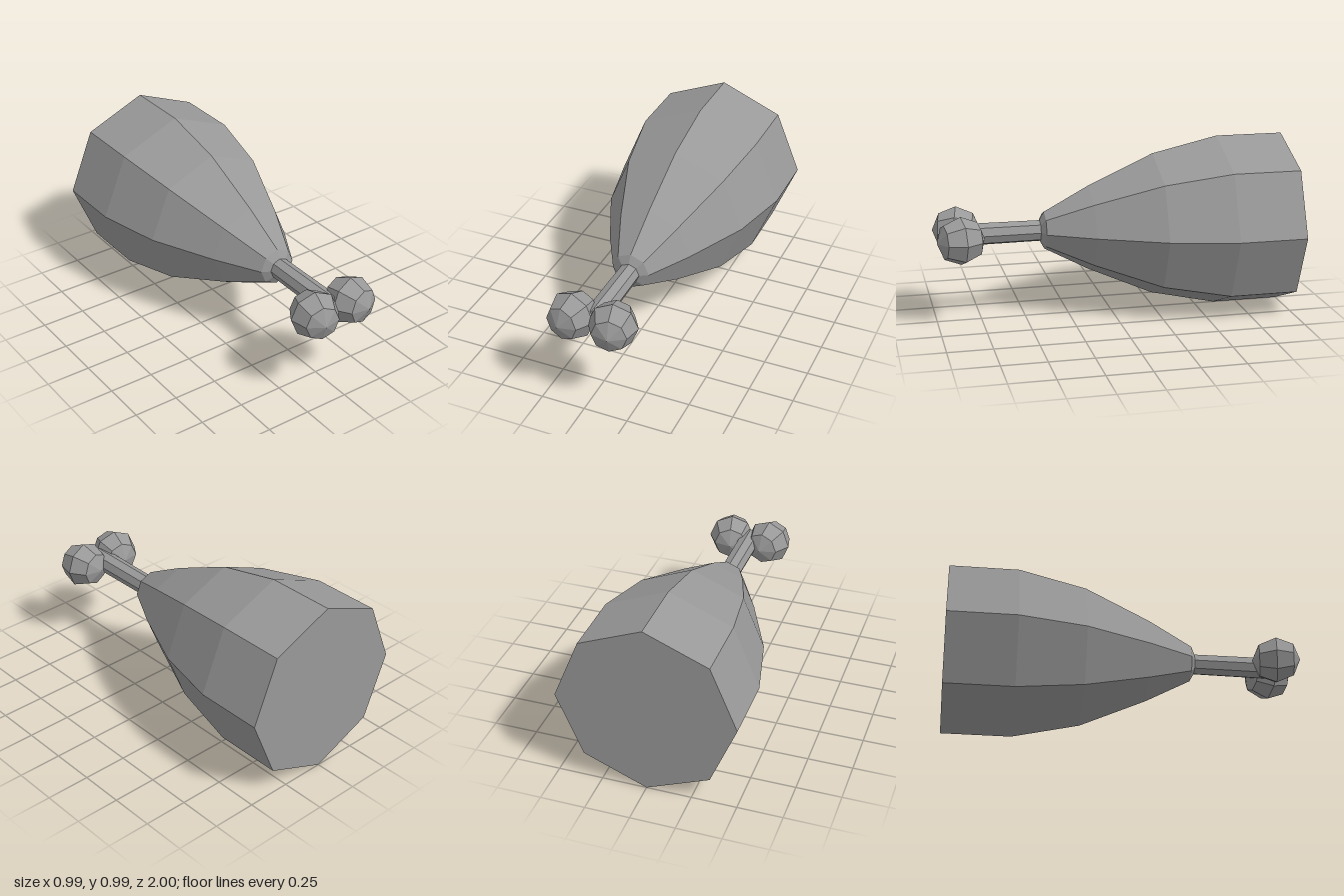
import * as THREE from 'three';

export function createModel() {
  const group = new THREE.Group();
  const material = new THREE.MeshStandardMaterial({ color: 0x999999, flatShading: true });

  const add = (name, geometry, x, y, z) => {
    const mesh = new THREE.Mesh(geometry, material);
    mesh.name = name;
    mesh.position.set(x, y, z);
    group.add(mesh);
    return mesh;
  };

  // Eight-sided body with a bevelled collar that meets the stem: [radius, z]
  const profile = [
    [0, -1], [0.497, -1], [0.497, -0.615], [0.412, -0.24],
    [0.245, 0.13], [0.107, 0.385], [0.06, 0.41],
  ].map(([r, z]) => new THREE.Vector2(r, z));
  add('body', new THREE.LatheGeometry(profile, 8).rotateX(Math.PI / 2), 0, 0.5, 0);

  // Thin stem running from the body to between the balls
  add('stem', new THREE.CylinderGeometry(0.063, 0.06, 0.47, 8).rotateX(Math.PI / 2), 0, 0.5, 0.635);

  // Pair of faceted balls, each turned slightly outward
  for (const [name, side] of [['leftBall', 1], ['rightBall', -1]]) {
    const ball = new THREE.SphereGeometry(0.136, 8, 4).rotateX(Math.PI / 2);
    add(name, ball, side * 0.118, 0.5, 0.866).rotation.y = side * 0.19;
  }

  return group;
}
